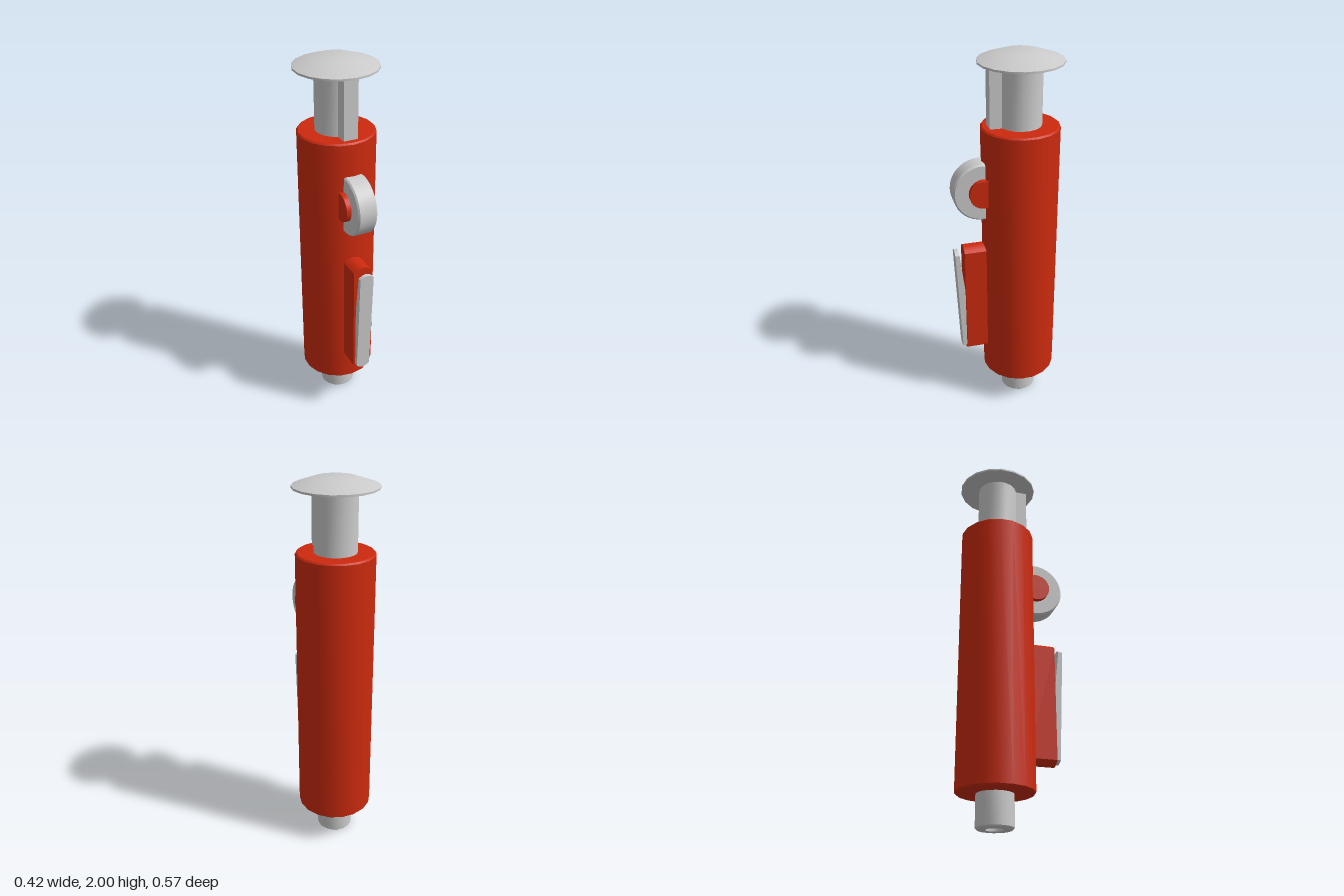
import * as THREE from 'three';
import { toCreasedNormals } from 'three/addons/utils/BufferGeometryUtils.js';

const AXIS_Z = -0.074;
const SIDES = 18;

export function createModel() {
  const model = new THREE.Group();
  const grey = new THREE.MeshStandardMaterial({ color: 0xcccccc });
  const red = new THREE.MeshStandardMaterial({ color: 0xcc2a0e });

  function add(name, geometry, material, x = 0, y = 0, z = 0) {
    const mesh = new THREE.Mesh(toCreasedNormals(geometry, 0.6), material);
    mesh.name = name;
    mesh.position.set(x, y, z);
    model.add(mesh);
    return mesh;
  }

  // Turned part from [radius, height] pairs, listed bottom to top
  function turned(points, sides = SIDES) {
    return new THREE.LatheGeometry(points.map(([r, y]) => new THREE.Vector2(r, y)), sides);
  }

  // Closed cylinder with chamfered rims
  function chamfered(r, y0, y1, c, sides) {
    return turned([[0, y0], [r - c, y0], [r, y0 + c], [r, y1 - c], [r - c, y1], [0, y1]], sides);
  }

  // Upright strip outline with gently arched ends
  function stripShape(halfWidth, y0, y1, rise) {
    const s = new THREE.Shape();
    s.moveTo(-halfWidth, y0 + rise);
    s.quadraticCurveTo(-halfWidth * 0.5, y0, 0, y0);
    s.quadraticCurveTo(halfWidth * 0.5, y0, halfWidth, y0 + rise);
    s.lineTo(halfWidth, y1 - rise);
    s.quadraticCurveTo(halfWidth * 0.5, y1, 0, y1);
    s.quadraticCurveTo(-halfWidth * 0.5, y1, -halfWidth, y1 - rise);
    s.closePath();
    return s;
  }

  // Main barrel
  add('barrel', chamfered(0.201, 0.17, 1.64, 0.008), red, 0, 0, AXIS_Z);

  // Hollow nozzle under the barrel
  add('nozzle', turned([
    [0, 0.1], [0.045, 0.1], [0.045, 0], [0.088, 0], [0.096, 0.008], [0.096, 0.2],
  ]), grey, 0, 0, AXIS_Z);

  // Plunger: stem, guide rib and domed cap
  add('plungerStem', new THREE.CylinderGeometry(0.109, 0.109, 0.38, SIDES), grey, 0, 1.78, AXIS_Z);
  add('plungerRib', new THREE.BoxGeometry(0.076, 0.36, 0.12), grey, 0, 1.78, 0.03);
  add('plungerCap', turned([
    [0, 1.954], [0.214, 1.954], [0.214, 1.964], [0.109, 2], [0, 2],
  ]), grey, 0, 0, AXIS_Z);

  // Thumb wheel and its hub, half sunk in the barrel
  const wheel = add('thumbWheel', chamfered(0.155, -0.052, 0.052, 0.008, 36), grey, 0, 1.31, 0.13);
  const hub = add('wheelHub', chamfered(0.076, -0.078, 0.078, 0.001, 28), red, 0, 1.31, 0.13);
  wheel.rotation.z = hub.rotation.z = Math.PI / 2;

  // Raised mount on the front
  add('clipMount', new THREE.ExtrudeGeometry(stripShape(0.05, 0.325, 0.99, 0.026),
    { depth: 0.156, bevelEnabled: false, curveSegments: 4 }), red, 0, 0, 0.08);

  // Sloping clip: front and back faces lean outward towards the top
  const clip = new THREE.ExtrudeGeometry(stripShape(0.038, 0.338, 0.968, 0.018),
    { depth: 1, bevelEnabled: false, curveSegments: 4 });
  const p = clip.attributes.position;
  for (let i = 0; i < p.count; i++) {
    const t = (p.getY(i) - 0.338) / 0.63;
    const front = 0.257 + 0.028 * t;
    const back = 0.192 + 0.072 * t;
    p.setZ(i, p.getZ(i) > 0.5 ? front : back);
  }
  add('clip', clip, grey);

  return model;
}
